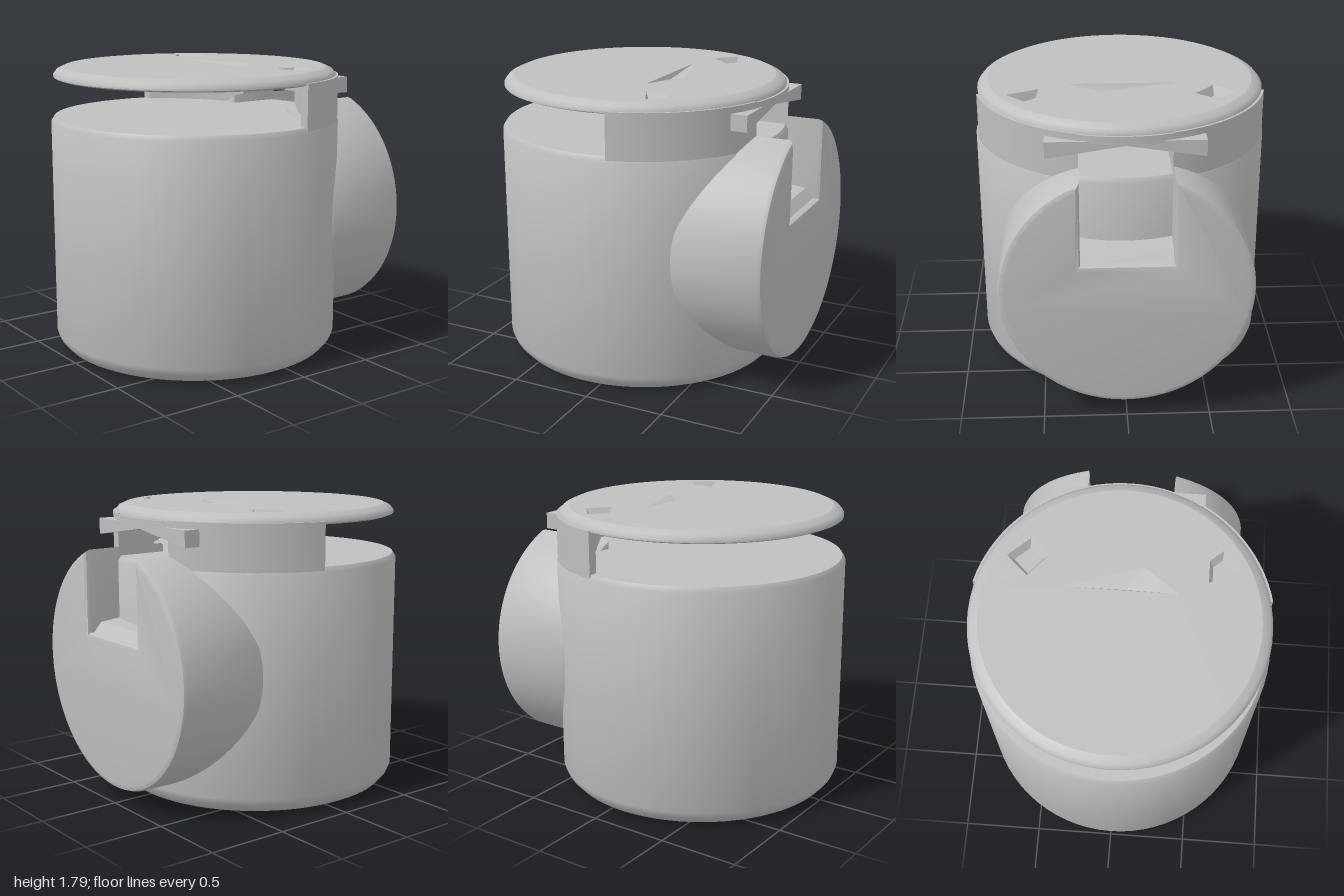
import * as THREE from 'three';
import { toCreasedNormals, mergeGeometries } from 'three/addons/utils/BufferGeometryUtils.js';

const CZ = 0.095; // z of the main cylinder's axis
const R = 0.905;
const V = (x, y) => new THREE.Vector2(x, y);

export function createModel() {
  const grey = new THREE.MeshStandardMaterial({ color: 0xbfbfbf });
  grey.name = 'grey';
  const model = new THREE.Group();

  const add = (name, geometry, crease = 0.7) => {
    const mesh = new THREE.Mesh(toCreasedNormals(geometry, crease), grey);
    mesh.name = name;
    model.add(mesh);
    return mesh;
  };

  const lathe = (points) =>
    new THREE.LatheGeometry(points.map((p) => V(...p)), 72).translate(0, 0, CZ);

  // Round plate with sunken pits; pit = { outline (counterclockwise), centre, taper, depth }
  function pittedPlate(radius, offset, pits) {
    const shape = new THREE.Shape().absarc(0, offset, radius, 0, Math.PI * 2);
    const pos = [];
    for (const { outline, centre, taper, depth } of pits) {
      shape.holes.push(new THREE.Path(outline.map((p) => V(...p))));
      const low = outline.map(([x, y]) => [
        centre[0] + (x - centre[0]) * taper, centre[1] + (y - centre[1]) * taper, -depth]);
      outline.forEach((p, i) => {
        const j = (i + 1) % outline.length;
        const a = [...p, 0], b = [...outline[j], 0];
        pos.push(...a, ...b, ...low[i], ...b, ...low[j], ...low[i]);
        pos.push(...centre, -depth, ...low[i], ...low[j]);
      });
    }
    const walls = new THREE.BufferGeometry();
    walls.setAttribute('position', new THREE.Float32BufferAttribute(pos, 3));
    walls.computeVertexNormals();
    const plate = new THREE.ShapeGeometry(shape, 36).toNonIndexed();
    plate.deleteAttribute('uv');
    return mergeGeometries([plate, walls]);
  }

  // Upright slab from a plan outline of [x, z] points
  const slab = (plan, y0, y1) =>
    new THREE.ExtrudeGeometry(new THREE.Shape(plan.map(([x, z]) => V(x, -z))),
      { depth: y1 - y0, bevelEnabled: false }).rotateX(-Math.PI / 2).translate(0, y0, 0);

  // Arc around the back of the cylinder, angle measured from straight back
  const backArc = (from, to, n, r = 0.9) => Array.from({ length: n + 1 }, (_, i) => {
    const t = from + (to - from) * i / n;
    return [r * Math.sin(t), CZ - r * Math.cos(t)];
  });

  // Main drum with bevelled foot and the slot floor on top
  add('body', lathe([[0.82, 0], [0.85, 0.015], [0.89, 0.06], [R, 0.1], [R, 1.45],
    [0.885, 1.48], [0, 1.48]]));

  // Underside with a twelve-sided recess
  const ring = Array.from({ length: 12 }, (_, i) => {
    const t = (i + 0.5) * Math.PI / 6;
    return [0.575 * Math.cos(t), CZ + 0.575 * Math.sin(t)];
  });
  add('underside', pittedPlate(0.82, CZ,
    [{ outline: ring, centre: [0, CZ], taper: 1, depth: 0.17 }]).rotateX(Math.PI / 2), 0.3);

  // Lid rim and top face with two pits and a shallow central dent
  add('lidRim', lathe([[0, 1.72], [0.86, 1.72], [0.885, 1.73], [0.885, 1.745],
    [0.865, 1.77], [0.82, 1.79]]));
  add('lidTop', pittedPlate(0.82, -CZ, [
    { outline: [[-0.69, 0.25], [-0.56, 0.13], [-0.44, 0.27], [-0.56, 0.37]],
      centre: [-0.57, 0.25], taper: 0.5, depth: 0.085 },
    { outline: [[0.5, 0.16], [0.69, 0.25], [0.58, 0.37], [0.5, 0.3]],
      centre: [0.57, 0.25], taper: 0.5, depth: 0.085 },
    { outline: [[-0.35, 0.075], [0.33, 0.075], [0.12, 0.23]],
      centre: [0.02, 0.09], taper: 0, depth: 0.03 },
  ]).rotateX(-Math.PI / 2).translate(0, 1.79, 0), 0.1);

  // Side walls of the chamber behind the slot
  const open = Math.asin(0.27 / 0.9), end = Math.acos((CZ + 0.09) / 0.9);
  for (const s of [-1, 1]) {
    const plan = [...backArc(open, end, 16),
      [0.82, -0.09], [0.66, -0.28], [0.46, -0.41], [0.27, -0.5]];
    add(s > 0 ? 'leftChamberWall' : 'rightChamberWall',
      slab(plan.map(([x, z]) => [x * s, z]), 1.44, 1.74), 0.4);
  }
  add('chamberRoof', slab(backArc(-end, end, 36), 1.685, 1.735), 0.4);

  // Peaked lintel over the rear window
  const lintel = new THREE.Shape([V(-0.46, 1.7), V(-0.46, 1.6), V(0, 1.67),
    V(0.46, 1.6), V(0.46, 1.7)]);
  add('windowLintel', new THREE.ExtrudeGeometry(lintel, { depth: 0.2, bevelEnabled: false })
    .translate(0, 0, -0.78), 0.3);

  // Upright round disc on the back, notched at the top
  const cy = 0.84, r = 0.745, w = 0.27, a = Math.acos(w / r);
  const disc = new THREE.Shape();
  disc.moveTo(w, 1.02);
  disc.lineTo(w, cy + r * Math.sin(a));
  disc.absarc(0, cy, r, a, Math.PI - a, true);
  disc.lineTo(-w, 1.02);
  disc.closePath();
  add('backDisc', new THREE.ExtrudeGeometry(disc, {
    depth: 0.52, curveSegments: 64, bevelThickness: 0.03, bevelSize: 0.03,
    bevelOffset: -0.03, bevelSegments: 2,
  }).translate(0, 0, -0.97), 0.6);

  // Sloped ledge at the bottom of the notch
  const ledge = new THREE.Shape([V(0.7, 1.0), V(0.97, 1.0), V(0.9, 1.08), V(0.7, 1.1)]);
  add('notchLedge', new THREE.ExtrudeGeometry(ledge, { depth: 2 * w, bevelEnabled: false })
    .rotateY(Math.PI / 2).translate(-w, 0, 0), 0.3);

  return model;
}
